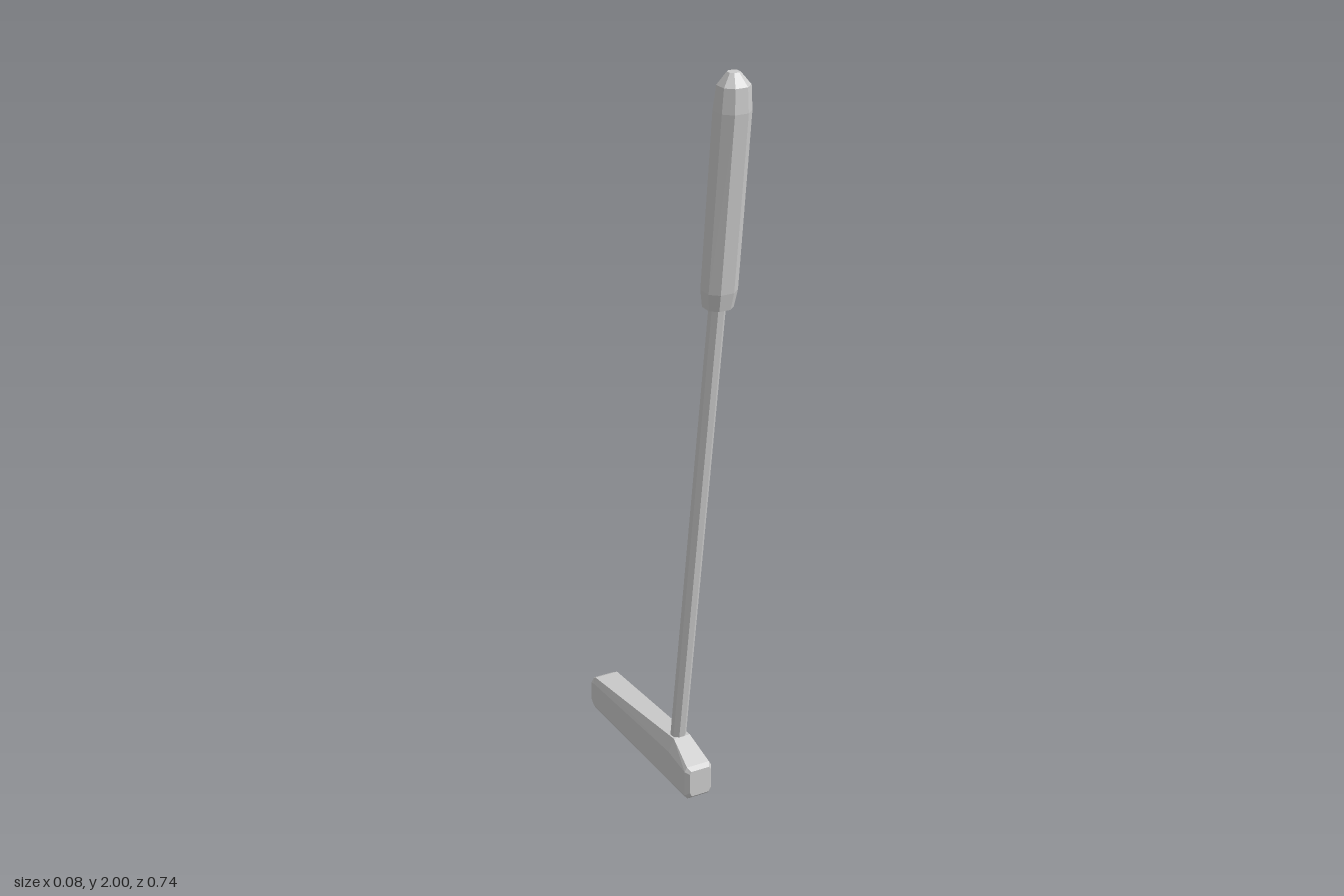
import * as THREE from 'three';

const material = new THREE.MeshStandardMaterial({ color: 0xcccccc, flatShading: true, side: THREE.DoubleSide });

// Skins a list of equal-sized rings of [x, y, z] points and caps both ends.
function loft(name, rings) {
  const n = rings[0].length;
  const index = [];
  for (let r = 0; r < rings.length - 1; r++) {
    for (let i = 0; i < n; i++) {
      const a = r * n + i, b = r * n + (i + 1) % n;
      index.push(a, a + n, b, b, a + n, b + n);
    }
  }
  const last = (rings.length - 1) * n;
  for (let i = 1; i < n - 1; i++) {
    index.push(0, i, i + 1, last, last + i + 1, last + i);
  }
  const geometry = new THREE.BufferGeometry();
  geometry.setAttribute('position', new THREE.Float32BufferAttribute(rings.flat(2), 3));
  geometry.setIndex(index);
  const flat = geometry.toNonIndexed();
  flat.computeVertexNormals();
  const mesh = new THREE.Mesh(flat, material);
  mesh.name = name;
  return mesh;
}

// Head section at depth z: bevelled bottom, upright sides, sloped shoulders, flat top.
function headRing([z, bottom, shoulder, top, half, topHalf]) {
  const right = [
    [half * 0.8, bottom], [half, bottom + 0.012], [half, shoulder], [topHalf, top],
  ];
  const left = right.map(([x, y]) => [-x, y]).reverse();
  return [...right, ...left].map(([x, y]) => [x, y, z]);
}

// Horizontal eight-sided grip section with its own centre, width and depth.
function gripRing([y, zCentre, halfWidth, halfDepth]) {
  const ring = [[1, 0.5], [0.45, 1], [-0.45, 1], [-1, 0.5], [-1, -0.5], [-0.45, -1], [0.45, -1], [1, -0.5]];
  return ring.map(([x, z]) => [x * halfWidth, y, zCentre + z * halfDepth]);
}

export function createModel() {
  const model = new THREE.Group();
  model.name = 'putter';

  // Long low head: [z, bottom, shoulder, top, half width, top half width]
  const head = [
    [0.205, 0.014, 0.082, 0.09, 0.031, 0.027],
    [0.192, 0.002, 0.086, 0.098, 0.04, 0.033],
    [0.105, 0.0, 0.1, 0.136, 0.04, 0.024],
    [-0.33, 0.0, 0.083, 0.101, 0.04, 0.034],
    [-0.35, 0.008, 0.075, 0.09, 0.037, 0.029],
    [-0.37, 0.03, 0.052, 0.06, 0.024, 0.018],
  ];
  model.add(loft('head', head.map(headRing)));

  // Slim leaning shaft
  const start = new THREE.Vector3(0, 0.13, 0.085);
  const end = new THREE.Vector3(0, 1.45, 0.273);
  const axis = end.clone().sub(start);
  const shaft = new THREE.Mesh(new THREE.CylinderGeometry(0.021, 0.021, axis.length(), 8), material);
  shaft.geometry.rotateY(Math.PI / 8);
  shaft.name = 'shaft';
  shaft.position.copy(start).add(end).multiplyScalar(0.5);
  shaft.quaternion.setFromUnitVectors(new THREE.Vector3(0, 1, 0), axis.normalize());
  model.add(shaft);

  // Faceted handle grip: [y, centre z, half width, half depth]
  const grip = [
    [1.415, 0.271, 0.034, 0.033],
    [1.46, 0.276, 0.04, 0.039],
    [1.91, 0.327, 0.04, 0.042],
    [1.97, 0.332, 0.036, 0.035],
    [2.0, 0.33, 0.014, 0.014],
  ];
  model.add(loft('grip', grip.map(gripRing)));

  return model;
}
